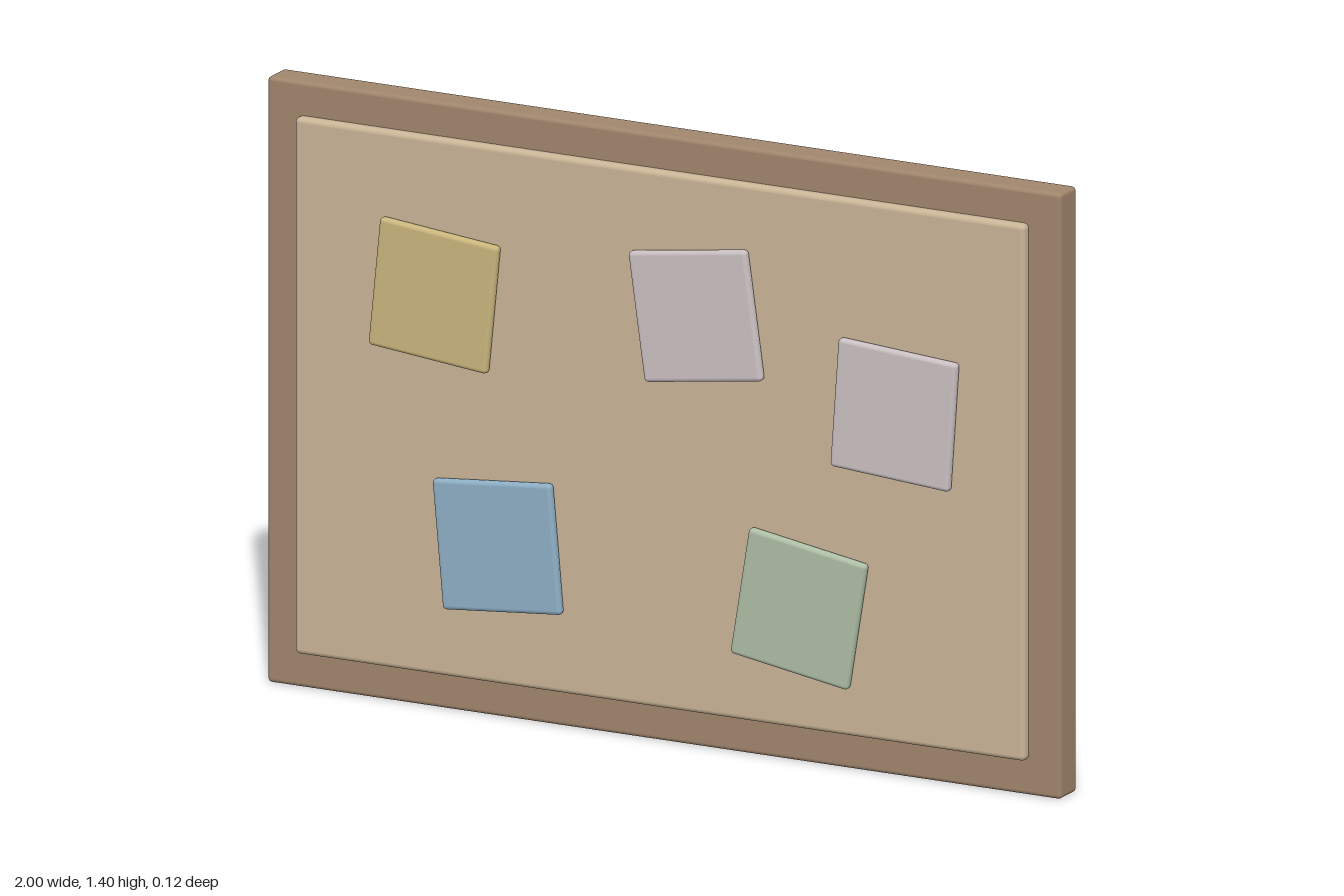
import * as THREE from 'three';
import { RoundedBoxGeometry } from 'three/addons/geometries/RoundedBoxGeometry.js';

const material = (name, color) => {
  const m = new THREE.MeshStandardMaterial({ color });
  m.name = name;
  return m;
};

// Soft-edged slab spanning z = back to z = front
function slab(name, mat, [w, h], [x, y], back, front, radius) {
  const depth = front - back;
  const mesh = new THREE.Mesh(new RoundedBoxGeometry(w, h, depth, 4, radius), mat);
  mesh.name = name;
  mesh.position.set(x, y, (back + front) / 2);
  return mesh;
}

export function createModel() {
  const group = new THREE.Group();
  group.name = 'pinBoard';

  const wood = material('brown wood', 0xa0856c);
  const cork = material('tan cork', 0xc9b596);
  const yellow = material('yellow paper', 0xc9b57c);
  const lilac = material('pale lilac paper', 0xc9bfc1);
  const blue = material('blue paper', 0x8eaec4);
  const green = material('green paper', 0xadbda5);

  // Backing frame and raised cork panel
  group.add(slab('frame', wood, [2, 1.4], [0, 0.7], -0.061, 0.017, 0.01));
  group.add(slab('corkPanel', cork, [1.84, 1.24], [0, 0.702], -0.005, 0.039, 0.012));

  // Square notes: name, material, centre, tilt
  const notes = [
    ['yellowNote', yellow, [-0.56, 0.963], -0.1],
    ['upperLilacNote', lilac, [0.1, 1.005], 0.14],
    ['rightLilacNote', lilac, [0.6, 0.845], -0.07],
    ['blueNote', blue, [-0.4, 0.404], 0.09],
    ['greenNote', green, [0.36, 0.364], -0.16],
  ];
  for (const [name, mat, centre, tilt] of notes) {
    const note = slab(name, mat, [0.3, 0.3], centre, 0.037, 0.061, 0.01);
    note.rotation.z = tilt;
    group.add(note);
  }
  return group;
}
